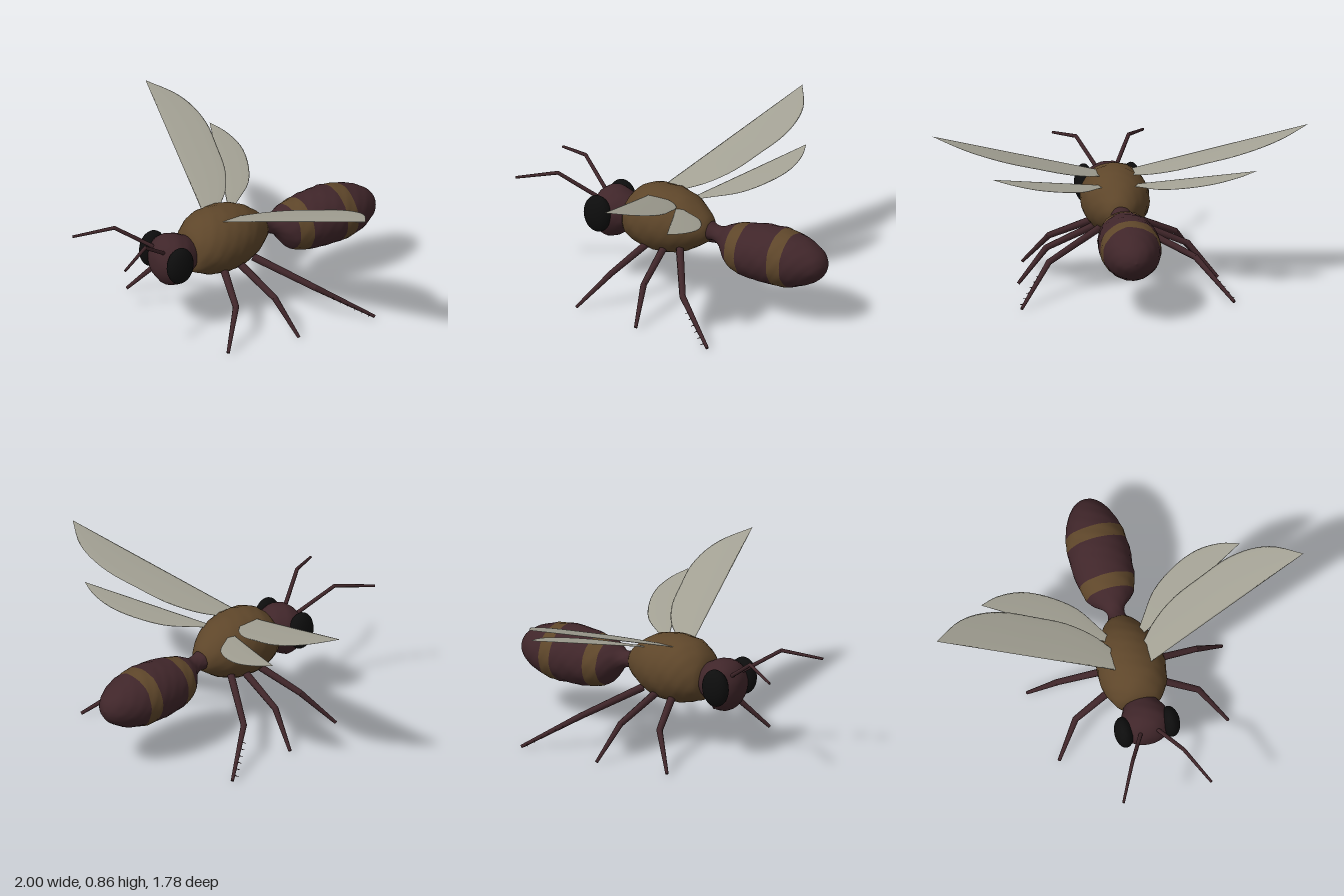
import * as THREE from 'three';

const mat = (name, color, extra = {}) => Object.assign(new THREE.MeshStandardMaterial({ color, ...extra }), { name });
const V = (x, y, z) => new THREE.Vector3(x, y, z);

// Skin a surface through rings; point(i, angle) gives each corner
function loft(rings, sides, point) {
  const pos = [], index = [];
  for (let i = 0; i <= rings; i++)
    for (let j = 0; j < sides; j++) pos.push(...point(i, (j / sides) * Math.PI * 2));
  for (let i = 0; i < rings; i++)
    for (let j = 0; j < sides; j++) {
      const a = i * sides + j, b = i * sides + (j + 1) % sides;
      index.push(a, b, a + sides, b, b + sides, a + sides);
    }
  const g = new THREE.BufferGeometry();
  g.setAttribute('position', new THREE.Float32BufferAttribute(pos, 3));
  g.setIndex(index);
  g.computeVertexNormals();
  return g;
}

// Slightly lumpy round body segment; profile rows are [z, centre y, radius]
function bodyGeometry(profile, sub, sides, squash = 1) {
  const curve = new THREE.CatmullRomCurve3(profile.map(([z, cy, r]) => V(r, cy, z)), false, 'centripetal');
  const rings = (profile.length - 1) * sub;
  return loft(rings, sides, (i, a) => {
    const p = curve.getPoint(i / rings), c = Math.cos(a), s = Math.sin(a);
    const lump = Math.sin(p.z * 62 + c * 3) * Math.sin(a * 9 + p.z * 25) + 0.6 * Math.sin(a * 5 - p.z * 48);
    const r = Math.max(p.x, 0) * (1 + 0.016 * lump);
    return [r * c * squash, p.y + r * s, p.z];
  });
}

export function createModel() {
  const dark = mat('dark maroon shell', 0x40262a);
  const brown = mat('brown fuzz', 0x5e462a);
  const black = mat('black eye', 0x0d0d0d);
  const grey = mat('wing grey', 0xa3a194, { side: THREE.DoubleSide });
  const root = new THREE.Group();
  root.name = 'insect';
  const add = (name, geo, material) => {
    const m = new THREE.Mesh(geo, material);
    m.name = name;
    root.add(m);
    return m;
  };

  // Thorax
  add('thorax', bodyGeometry([
    [-0.185, 0.405, 0], [-0.175, 0.41, 0.055], [-0.12, 0.415, 0.105], [-0.05, 0.42, 0.148], [0.03, 0.42, 0.174],
    [0.12, 0.42, 0.182], [0.2, 0.42, 0.172], [0.26, 0.415, 0.147], [0.31, 0.4, 0.105], [0.33, 0.395, 0],
  ], 3, 32), brown);

  // Head
  add('head', bodyGeometry([
    [0.29, 0.4, 0.08], [0.325, 0.4, 0.1], [0.37, 0.395, 0.126], [0.42, 0.39, 0.14],
    [0.47, 0.39, 0.126], [0.505, 0.39, 0.088], [0.523, 0.39, 0.045], [0.526, 0.39, 0],
  ], 3, 28), dark);

  // Abdomen with waist and two brown bands
  const abdomen = bodyGeometry([
    [-0.89, 0.352, 0], [-0.878, 0.352, 0.04], [-0.85, 0.352, 0.076], [-0.78, 0.352, 0.118], [-0.69, 0.352, 0.146],
    [-0.615, 0.355, 0.155], [-0.52, 0.355, 0.154], [-0.41, 0.353, 0.142], [-0.335, 0.357, 0.122],
    [-0.295, 0.37, 0.095], [-0.25, 0.388, 0.055], [-0.21, 0.4, 0.043], [-0.16, 0.41, 0.055],
  ], 4, 32, 1.05);
  for (let k = 0; k < 12; k++) abdomen.addGroup(k * 4 * 32 * 6, 4 * 32 * 6, k === 4 || k === 7 ? 1 : 0);
  add('abdomen', abdomen, [dark, brown]);

  // Tapered limb through a chain of points, with round joints
  const up = V(0, 1, 0);
  function rod(name, a, b, ra, rb) {
    const d = b.clone().sub(a);
    const m = add(name, new THREE.CylinderGeometry(rb, ra, d.length(), 8), dark);
    m.position.copy(a).addScaledVector(d, 0.5);
    m.quaternion.setFromUnitVectors(up, d.normalize());
  }
  function limb(name, side, points, radii) {
    const pts = points.map(([x, y, z]) => V(x * side, y, z));
    for (let i = 1; i < pts.length; i++) {
      rod(name, pts[i - 1], pts[i], radii[i - 1], radii[i]);
      if (i < pts.length - 1) add(name + 'Joint', new THREE.SphereGeometry(radii[i], 8, 6), dark).position.copy(pts[i]);
    }
    return pts;
  }

  // Wing: straight leading edge, curved trailing edge, height rising along the span
  function wing(name, side, lead, trail, y0, slope) {
    const edge = new THREE.CatmullRomCurve3(trail.map(([x, z]) => V(x, 0, z)), false, 'centripetal');
    const [[x0, z0], [x1, z1]] = lead;
    add(name, loft(24, 16, (i, a) => {
      const p = edge.getPoint(i / 24);
      const zl = z0 + (z1 - z0) * (p.x - x0) / (x1 - x0);
      const half = Math.max((zl - p.z) / 2, 0), t = -side * a;
      return [p.x * side, y0 + slope * p.x + 0.035 * half * Math.sin(t), p.z + half * (1 + Math.cos(t))];
    }), grey);
  }

  for (const s of [1, -1]) {
    const label = s > 0 ? 'left' : 'right';

    // Eyes
    const eye = add(label + 'Eye', new THREE.SphereGeometry(1, 20, 14), black);
    eye.scale.set(0.051, 0.102, 0.08);
    eye.position.set(s * 0.126, 0.41, 0.448);

    // Antennae
    limb(label + 'Antenna', s, [[0.045, 0.465, 0.495], [0.14, 0.595, 0.685], [0.24, 0.56, 0.885]], [0.011, 0.01, 0.007]);

    // Legs
    const legRadii = [0.021, 0.017, 0.009];
    limb(label + 'FrontLeg', s, [[0.1, 0.3, 0.15], [0.335, 0.19, 0.235], [0.46, 0.01, 0.375]], legRadii);
    limb(label + 'MiddleLeg', s, [[0.1, 0.3, 0.05], [0.375, 0.19, 0.01], [0.53, 0.01, -0.035]], legRadii);
    const hind = limb(label + 'HindLeg', s, [[0.1, 0.305, -0.045], [0.39, 0.185, -0.24], [0.565, 0.01, -0.5]], legRadii);

    // Spines on the hind shin
    for (let k = 0; k < 6; k++) {
      const p = hind[1].clone().lerp(hind[2], 0.3 + k * 0.12);
      rod(label + 'LegSpine', p, p.clone().add(V(s * 0.024, -0.006, 0.016)), 0.004, 0.001);
    }

    // Wings
    wing(label + 'ForeWing', s, [[0.08, 0.16], [1, -0.13]], [[0.08, 0.04], [0.16, -0.05], [0.29, -0.14], [0.45, -0.2],
      [0.61, -0.25], [0.75, -0.255], [0.86, -0.225], [1, -0.13]], 0.538, 0.327);
    wing(label + 'HindWing', s, [[0.08, -0.01], [0.705, -0.335]], [[0.08, -0.05], [0.12, -0.11], [0.21, -0.235], [0.35, -0.33],
      [0.48, -0.375], [0.61, -0.37], [0.705, -0.335]], 0.51, 0.237);
  }
  return root;
}
